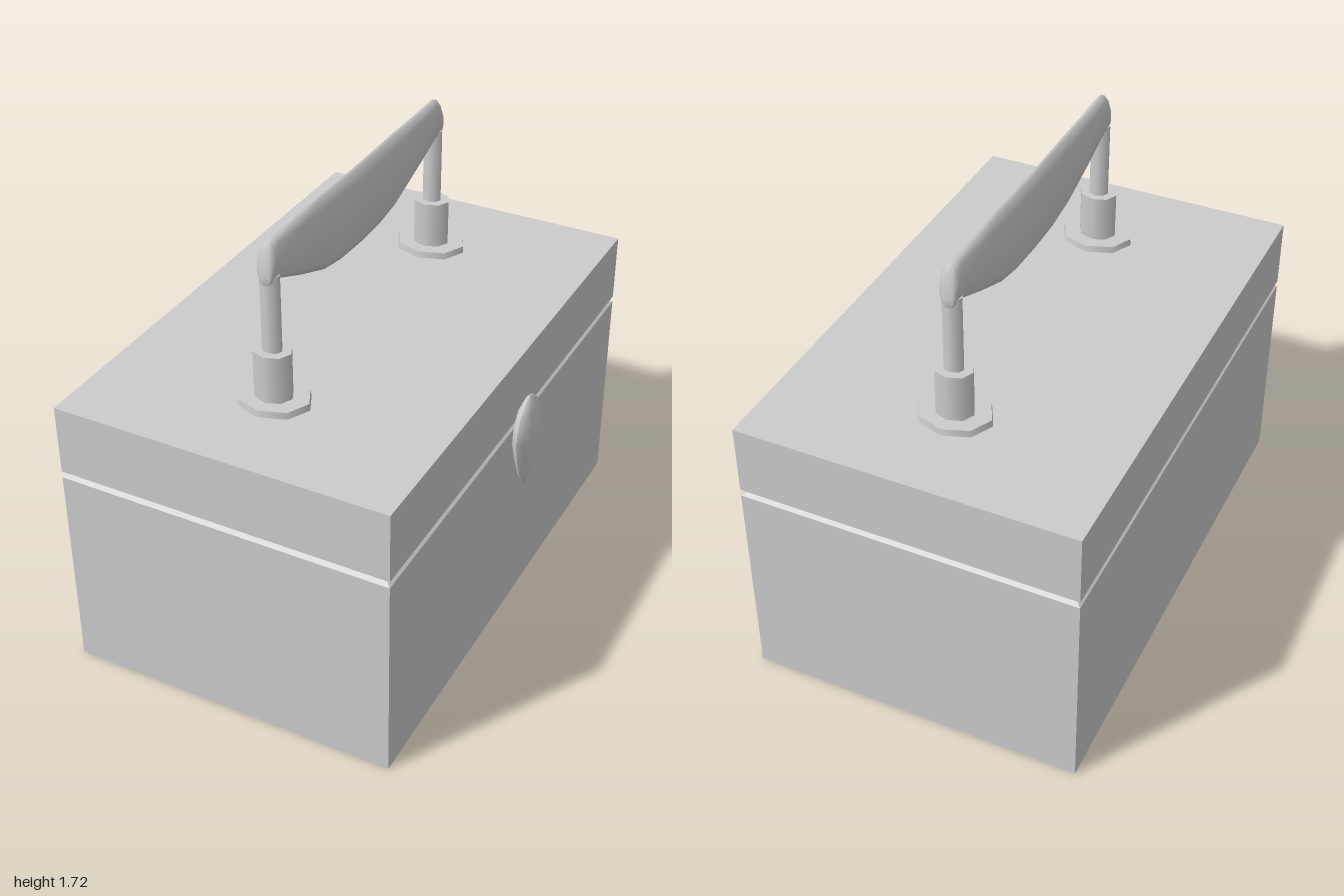
import * as THREE from 'three';

const grey = new THREE.MeshStandardMaterial({ color: 0xcccccc });
grey.name = 'plainGrey';

const CASE_X = -0.0475, CASE_W = 1.275, CASE_D = 2;
const HANDLE_X = -0.05, POST_Z = 0.613;

// Rectangular slab whose bottom and top edges may be inset
function slab(name, y0, y1, inset0, inset1) {
  const geo = new THREE.BoxGeometry(CASE_W, y1 - y0, CASE_D);
  const p = geo.attributes.position;
  for (let i = 0; i < p.count; i++) {
    const inset = p.getY(i) > 0 ? inset1 : inset0;
    p.setX(i, p.getX(i) - Math.sign(p.getX(i)) * inset);
    p.setZ(i, p.getZ(i) - Math.sign(p.getZ(i)) * inset);
  }
  geo.computeVertexNormals();
  const mesh = new THREE.Mesh(geo, grey);
  mesh.name = name;
  mesh.position.set(CASE_X, (y0 + y1) / 2, 0);
  return mesh;
}

// Eight-sided upright part with an oval section
function ovalPost(name, rx, rz, y0, y1, z, taper = 1) {
  const geo = new THREE.CylinderGeometry(taper, 1, y1 - y0, 8);
  geo.scale(rx, 1, rz);
  const mesh = new THREE.Mesh(geo, grey);
  mesh.name = name;
  mesh.position.set(HANDLE_X, (y0 + y1) / 2, z);
  return mesh;
}

// Grip: rounded blade sections swept along z
function gripGeometry() {
  // z, bottom, top, width factor
  const half = [
    [0, 1.42, 1.715, 1], [0.15, 1.425, 1.717, 1], [0.27, 1.445, 1.72, 1],
    [0.43, 1.505, 1.72, 1], [0.583, 1.57, 1.722, 1], [0.62, 1.565, 1.72, 1],
    [0.638, 1.565, 1.695, 0.85], [0.645, 1.57, 1.62, 0.5], [0.645, 1.6, 1.6, 0],
  ];
  const sections = [
    ...half.slice(1).reverse().map(([z, b, t, w]) => [-z, b, t, w]),
    ...half,
  ];
  // half-width and height fraction, bottom to top
  const side = [[0.012, 0], [0.028, 0.12], [0.036, 0.4], [0.034, 0.66], [0.024, 0.88], [0.008, 1]];
  const loop = [...side, ...side.slice().reverse().map(([x, f]) => [-x, f])];
  const n = loop.length, pos = [], index = [];
  sections.forEach(([z, b, t, w], i) => {
    loop.forEach(([x, f], j) => {
      pos.push(x * w, b + (t - b) * f, z);
      if (i === sections.length - 1) return;
      const a = i * n + j, c = i * n + (j + 1) % n;
      index.push(a, c, a + n, c, c + n, a + n);
    });
  });
  const geo = new THREE.BufferGeometry();
  geo.setAttribute('position', new THREE.Float32BufferAttribute(pos, 3));
  geo.setIndex(index);
  geo.computeVertexNormals();
  return geo;
}

export function createModel() {
  const model = new THREE.Group();
  model.name = 'carryCase';

  // Case with a V-shaped seam between body and lid
  model.add(
    slab('body', 0, 0.813, 0, 0),
    slab('seamLower', 0.813, 0.825, 0, 0.015),
    slab('seamUpper', 0.825, 0.839, 0.015, 0),
    slab('lid', 0.839, 1.105, 0, 0),
  );

  // Handle mounts and posts at both ends
  for (const s of [1, -1]) {
    const z = s * POST_Z;
    model.add(
      ovalPost('mountFlange', 0.142, 0.118, 1.1, 1.13, z, 0.97),
      ovalPost('mountSocket', 0.073, 0.062, 1.12, 1.31, z),
      ovalPost('handlePost', 0.038, 0.031, 1.28, 1.6, z),
    );
  }

  const grip = new THREE.Mesh(gripGeometry(), grey);
  grip.name = 'grip';
  grip.position.x = HANDLE_X;
  model.add(grip);

  // Teardrop clasp on the +x side
  const profile = [
    [0, 0.575], [0.022, 0.6], [0.055, 0.652], [0.085, 0.73], [0.105, 0.81],
    [0.099, 0.865], [0.075, 0.92], [0.035, 0.957], [0, 0.97],
  ].map(([r, y]) => new THREE.Vector2(r, y));
  const clasp = new THREE.Mesh(new THREE.LatheGeometry(profile, 12), grey);
  clasp.geometry.scale(0.39, 1, 1);
  clasp.geometry.computeVertexNormals();
  clasp.name = 'clasp';
  clasp.position.x = 0.64;
  model.add(clasp);

  return model;
}
